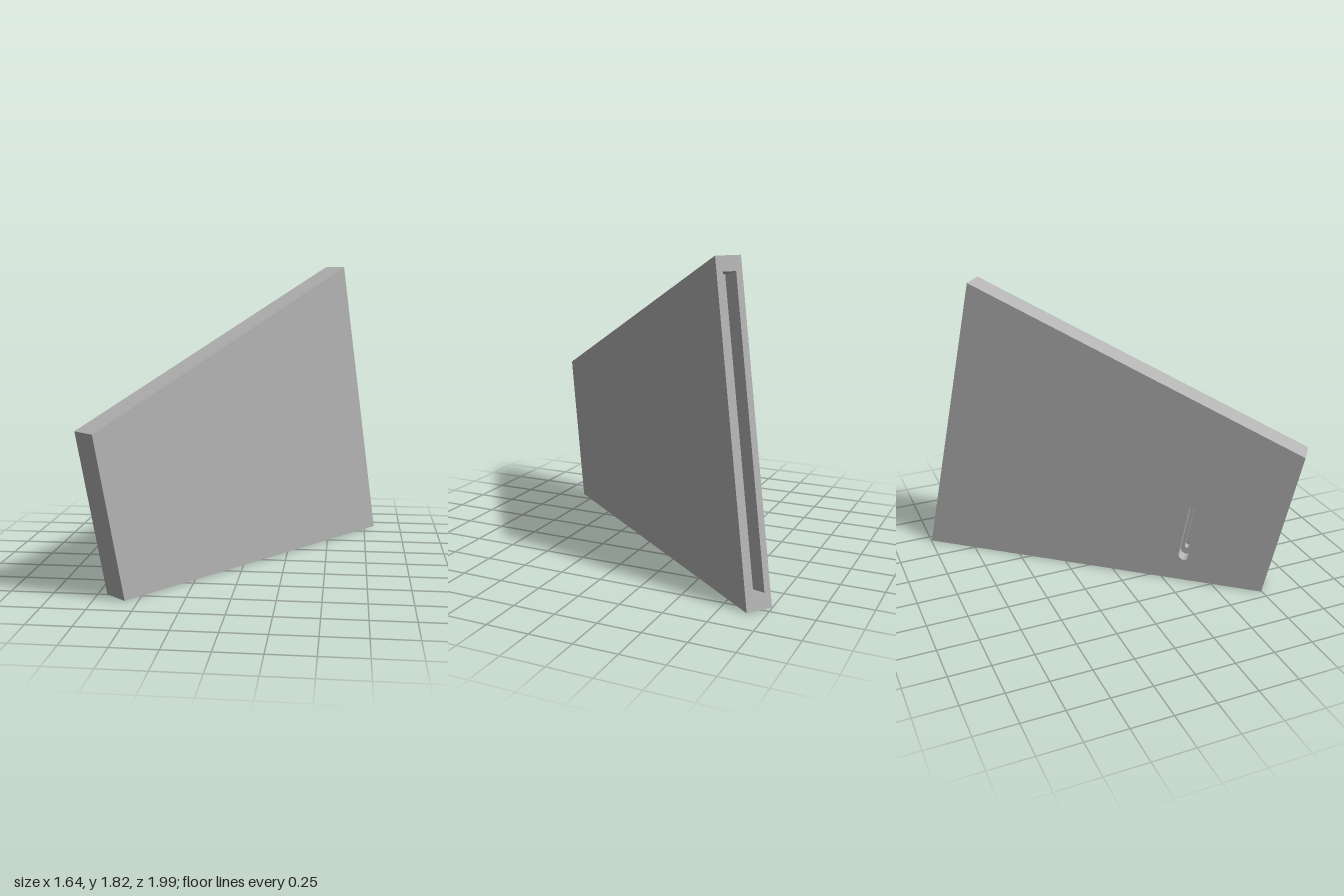
import * as THREE from 'three';

const HALF = 0.078;      // half the plate thickness
const CHANNEL = 0.114;   // depth of the channel in the long end
const CORNER = [1.215, 0];
const ALONG = [-0.203, 0.979]; // direction of the sloping long end

// Point at distance s up the long end and d inward from it
const onEnd = (s, d) => [
  CORNER[0] + s * ALONG[0] - d * ALONG[1],
  CORNER[1] + s * ALONG[1] + d * ALONG[0],
];
const NOTCHES = [0.31, 1.555]; // screw holes that break into the channel

// Plate outline, optionally with the channel cut into the long end
function outline(channel, notched) {
  const s = new THREE.Shape();
  s.moveTo(-1.018, 0);
  s.lineTo(...CORNER);
  if (channel) {
    s.lineTo(...onEnd(0.085, 0));
    s.lineTo(...onEnd(0.085, CHANNEL));
    if (notched) for (const c of NOTCHES) {
      for (let i = 0; i <= 12; i++) {
        const a = Math.PI * i / 12;
        s.lineTo(...onEnd(c - 0.02 * Math.cos(a), CHANNEL + 0.02 * Math.sin(a)));
      }
    }
    s.lineTo(...onEnd(1.775, CHANNEL));
    s.lineTo(...onEnd(1.775, 0));
  }
  s.lineTo(0.838, 1.82);
  s.lineTo(-1.21, 0.945);
  s.closePath();
  return s;
}

const round = (x, y, r) => new THREE.Path().absarc(x, y, r, 0, Math.PI * 2, true);

// Slot between two end-arc centres
function slot(x0, y0, x1, y1, r) {
  const a = Math.atan2(y1 - y0, x1 - x0);
  const p = new THREE.Path();
  p.absarc(x1, y1, r, a - Math.PI / 2, a + Math.PI / 2, false);
  p.absarc(x0, y0, r, a + Math.PI / 2, a + Math.PI * 1.5, false);
  p.closePath();
  return p;
}

// Square-ended groove along the centre line
function groove(x0, y0, x1, y1, w) {
  const l = Math.hypot(x1 - x0, y1 - y0);
  const nx = -(y1 - y0) / l * w / 2, ny = (x1 - x0) / l * w / 2;
  return new THREE.Path([[x0 + nx, y0 + ny], [x1 + nx, y1 + ny], [x1 - nx, y1 - ny], [x0 - nx, y0 - ny]]
    .map(([x, y]) => new THREE.Vector2(x, y)));
}

export function createModel() {
  const grey = new THREE.MeshStandardMaterial({ color: 0xb4b4b4 });
  grey.name = 'grey';

  const wideSlot = slot(-0.524, 0.18, -0.58, 0.5, 0.035);
  const thinSlot = slot(-0.528, 0.205, -0.578, 0.475, 0.016);
  const pivot = round(-0.997, 0.497, 0.048);
  const endHoles = [[0.617, 1.57], [0.66, 1.37], [0.866, 0.35], [0.908, 0.145]]
    .map(([x, y]) => round(x, y, 0.02));
  const midHoles = [[-0.149, 1.23], [0.023, 1.16], [-0.108, 1.03], [0.03, 0.36], [0.2, 0.29], [0.07, 0.16]]
    .map(([x, y]) => round(x, y, 0.016));
  const notchHoles = NOTCHES.map((s) => round(...onEnd(s, CHANNEL), 0.02));
  const blind = [thinSlot, groove(0.39, 0.12, 0.142, 1.39, 0.04), ...endHoles, ...midHoles];

  // Layers from back to front: name, start, end, channel, notched, openings
  const layers = [
    ['backSkin', -HALF, -0.04, false, false, [wideSlot]],
    ['backCore', -0.04, 0, true, false, [wideSlot]],
    ['frontCoreInner', 0, 0.018, true, true, blind],
    ['frontCoreOuter', 0.018, 0.04, true, true, [...blind, pivot]],
    ['frontSkin', 0.04, HALF, false, false, [...blind, pivot, ...notchHoles]],
  ];

  const panel = new THREE.Group();
  panel.name = 'panel';
  for (const [name, z0, z1, channel, notched, holes] of layers) {
    const shape = outline(channel, notched);
    shape.holes = holes;
    const geo = new THREE.ExtrudeGeometry(shape, { depth: z1 - z0, bevelEnabled: false, curveSegments: 16 });
    geo.translate(0, 0, z0);
    const mesh = new THREE.Mesh(geo, grey);
    mesh.name = name;
    panel.add(mesh);
  }
  panel.rotation.y = 0.896; // the panel stands diagonally

  const model = new THREE.Group();
  model.name = 'slottedPanel';
  model.add(panel);
  return model;
}
